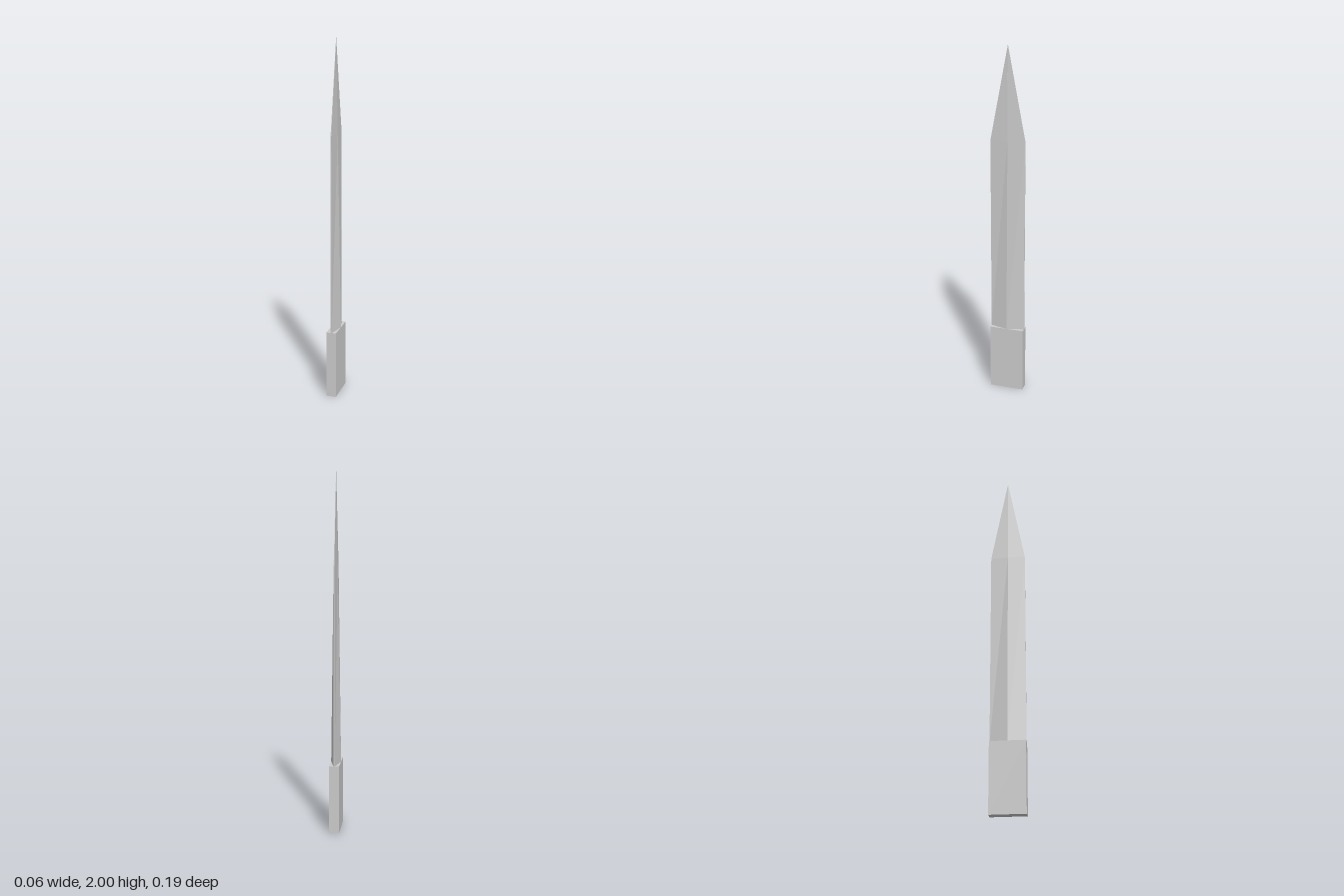
import * as THREE from 'three';

const HALF_THICK = 0.028, HALF_WIDTH = 0.0975, GRIP_TOP = 0.385, SHOULDER = 1.49, TIP = 2;

// Flattened-diamond cross-section: centre ridges on +-x, narrow blunt edges on +-z
function section(y, ridge, width, edge) {
  return [
    [ridge, y, 0], [edge, y, -width], [-edge, y, -width],
    [-ridge, y, 0], [-edge, y, width], [edge, y, width],
  ];
}

// Joins cross-sections, listed from bottom to top, into a closed flat-shaded solid
function loft(sections) {
  const n = sections[0].length;
  const index = [];
  for (let s = 0; s < sections.length - 1; s++) {
    for (let i = 0; i < n; i++) {
      const a = s * n + i, b = s * n + (i + 1) % n;
      index.push(a, b, b + n, a, b + n, a + n);
    }
  }
  const top = (sections.length - 1) * n;
  for (let i = 1; i < n - 1; i++) {
    index.push(0, i + 1, i, top, top + i, top + i + 1);
  }
  const geometry = new THREE.BufferGeometry();
  geometry.setAttribute('position', new THREE.Float32BufferAttribute(sections.flat(2), 3));
  geometry.setIndex(index);
  const flat = geometry.toNonIndexed();
  flat.computeVertexNormals();
  return flat;
}

export function createModel() {
  const group = new THREE.Group();
  group.name = 'dagger';
  const material = new THREE.MeshStandardMaterial({ color: 0xcccccc, flatShading: true });

  // Plain rectangular grip
  const grip = new THREE.Mesh(
    new THREE.BoxGeometry(HALF_THICK * 2, GRIP_TOP, HALF_WIDTH * 2), material);
  grip.name = 'grip';
  grip.position.y = GRIP_TOP / 2;
  group.add(grip);

  // Blade: ridge thins steadily from the grip to the tip, edges turn in at the shoulder
  const ridgeAtShoulder = HALF_THICK * (TIP - SHOULDER) / (TIP - GRIP_TOP);
  const blade = new THREE.Mesh(loft([
    section(GRIP_TOP, HALF_THICK, HALF_WIDTH, 0.003),
    section(SHOULDER, ridgeAtShoulder, HALF_WIDTH, 0.002),
    section(TIP, 0.0003, 0.0003, 0.0002),
  ]), material);
  blade.name = 'blade';
  group.add(blade);

  return group;
}
